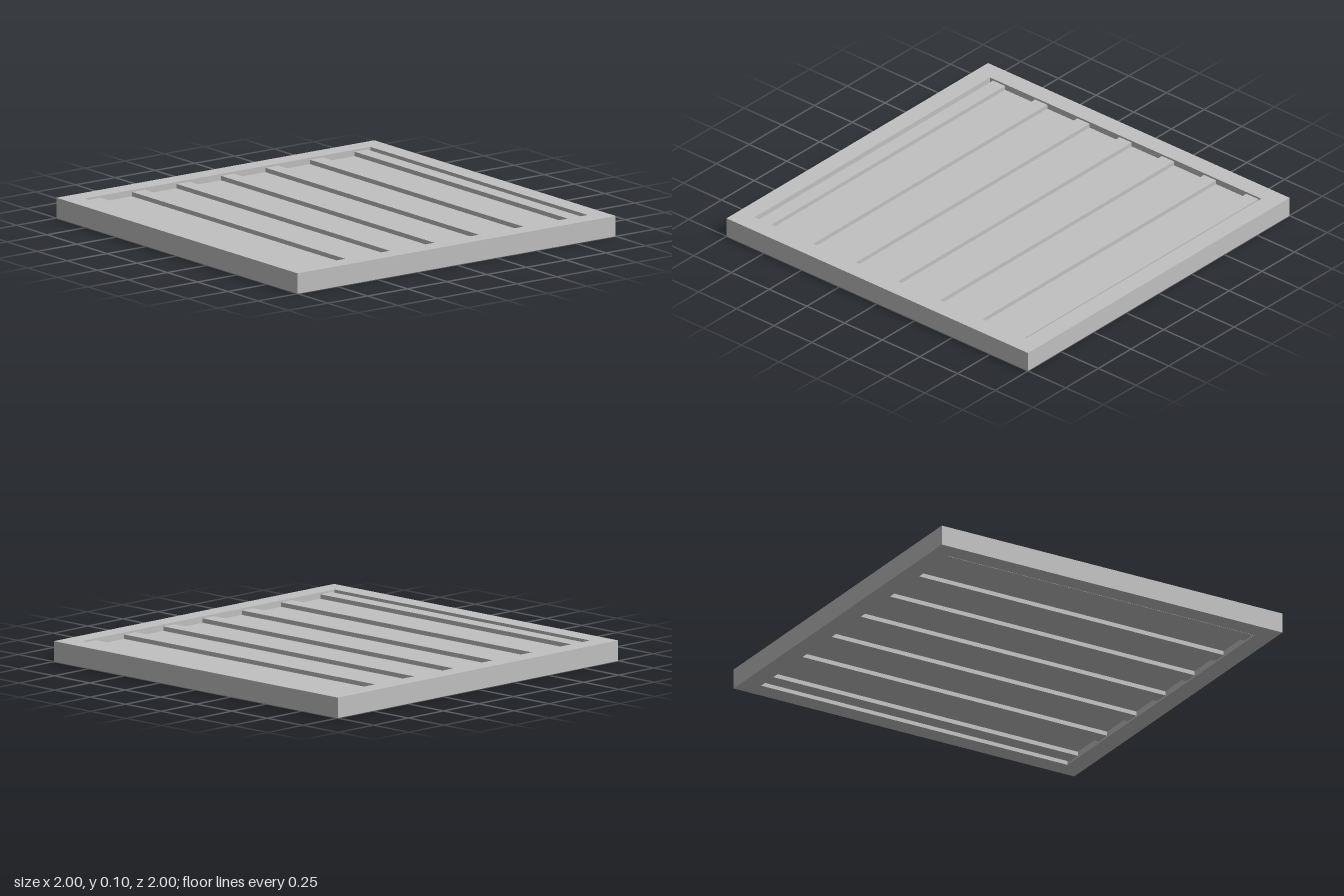
import * as THREE from 'three';

const HEIGHT = 0.105;
const OUTER = 1;     // half width of the frame
const INNER = 0.9;   // half width of the opening

export function createModel() {
  const model = new THREE.Group();
  model.name = 'ribbedPanel';
  const grey = new THREE.MeshStandardMaterial({ color: 0xc0c0c0 });
  grey.name = 'light grey';

  const addBox = (name, w, h, d, x, y, z) => {
    const mesh = new THREE.Mesh(new THREE.BoxGeometry(w, h, d), grey);
    mesh.name = name;
    mesh.position.set(x, y, z);
    model.add(mesh);
  };

  // Square frame, one piece with a square opening
  const outline = new THREE.Shape([
    new THREE.Vector2(-OUTER, -OUTER), new THREE.Vector2(OUTER, -OUTER),
    new THREE.Vector2(OUTER, OUTER), new THREE.Vector2(-OUTER, OUTER),
  ]);
  outline.holes.push(new THREE.Path([
    new THREE.Vector2(-INNER, -INNER), new THREE.Vector2(-INNER, INNER),
    new THREE.Vector2(INNER, INNER), new THREE.Vector2(INNER, -INNER),
  ]));
  const frameGeometry = new THREE.ExtrudeGeometry(outline, { depth: HEIGHT, bevelEnabled: false });
  frameGeometry.rotateX(-Math.PI / 2);
  const frame = new THREE.Mesh(frameGeometry, grey);
  frame.name = 'frame';
  model.add(frame);

  // Thin sheet in the middle of the frame's thickness
  addBox('sheet', INNER * 2, 0.04, INNER * 2, 0, HEIGHT / 2, 0);

  // Seven ribs running front to back, standing proud on both faces of the sheet
  for (let i = -3; i <= 3; i++) {
    addBox('rib', 0.08, 0.085, INNER * 2, i * 0.28, HEIGHT / 2, 0);
  }
  return model;
}
